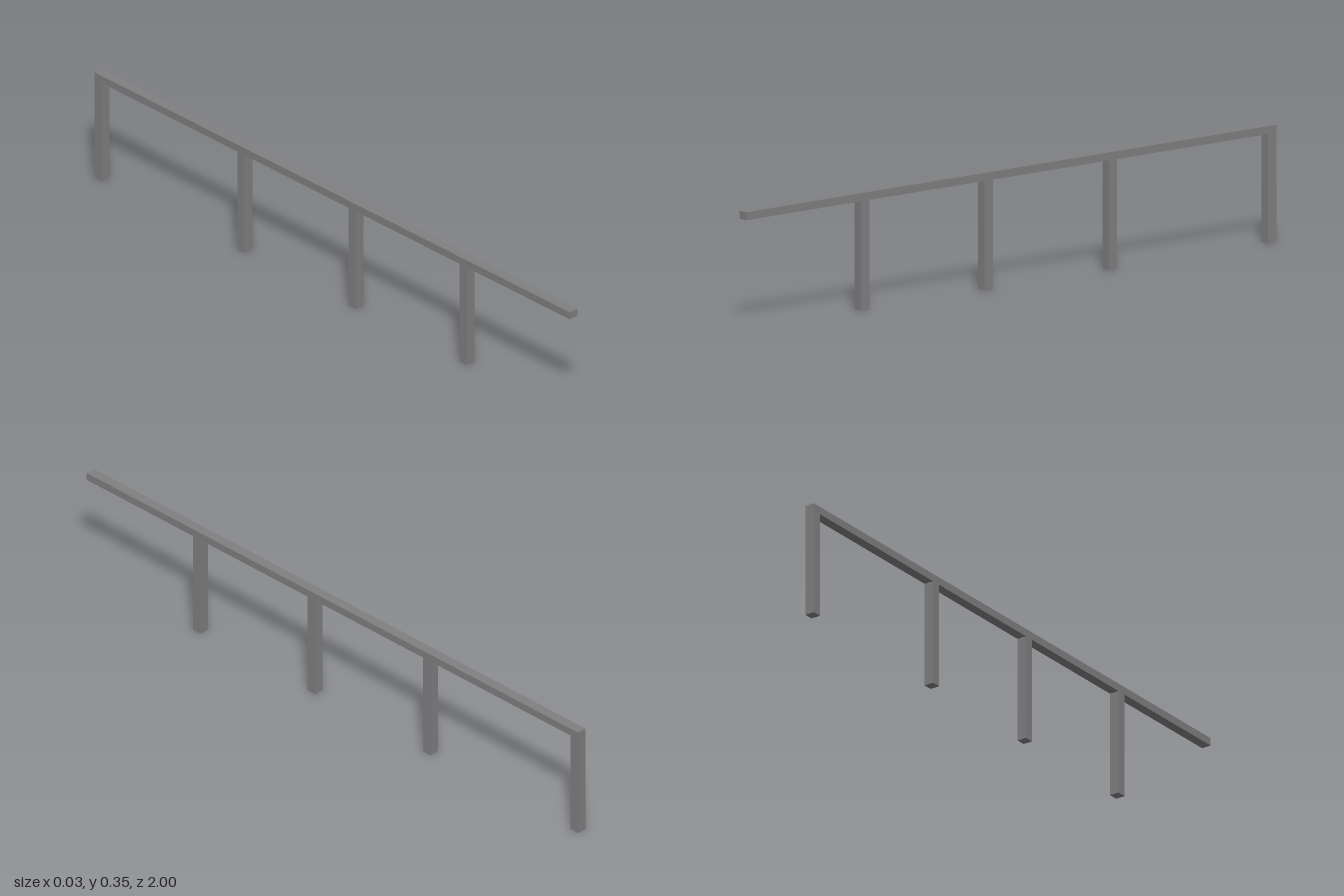
import * as THREE from 'three';

export function createModel() {
  const model = new THREE.Group();
  model.name = 'handrail';
  const steel = new THREE.MeshStandardMaterial({ color: 0x808080 });
  steel.name = 'grey steel';

  const width = 0.031, railBottom = 0.328, railTop = 0.352;

  function bar(name, height, depth, y, z) {
    const mesh = new THREE.Mesh(new THREE.BoxGeometry(width, height, depth), steel);
    mesh.name = name;
    mesh.position.set(0, y, z);
    model.add(mesh);
  }

  // Long flat rail along z
  bar('topRail', railTop - railBottom, 2, (railTop + railBottom) / 2, 0);

  // Square posts; the front end of the rail overhangs
  [0.551, 0.085, -0.384, -0.9845].forEach((z, i) => {
    bar(`post${i + 1}`, railBottom, width, railBottom / 2, z);
  });

  return model;
}
